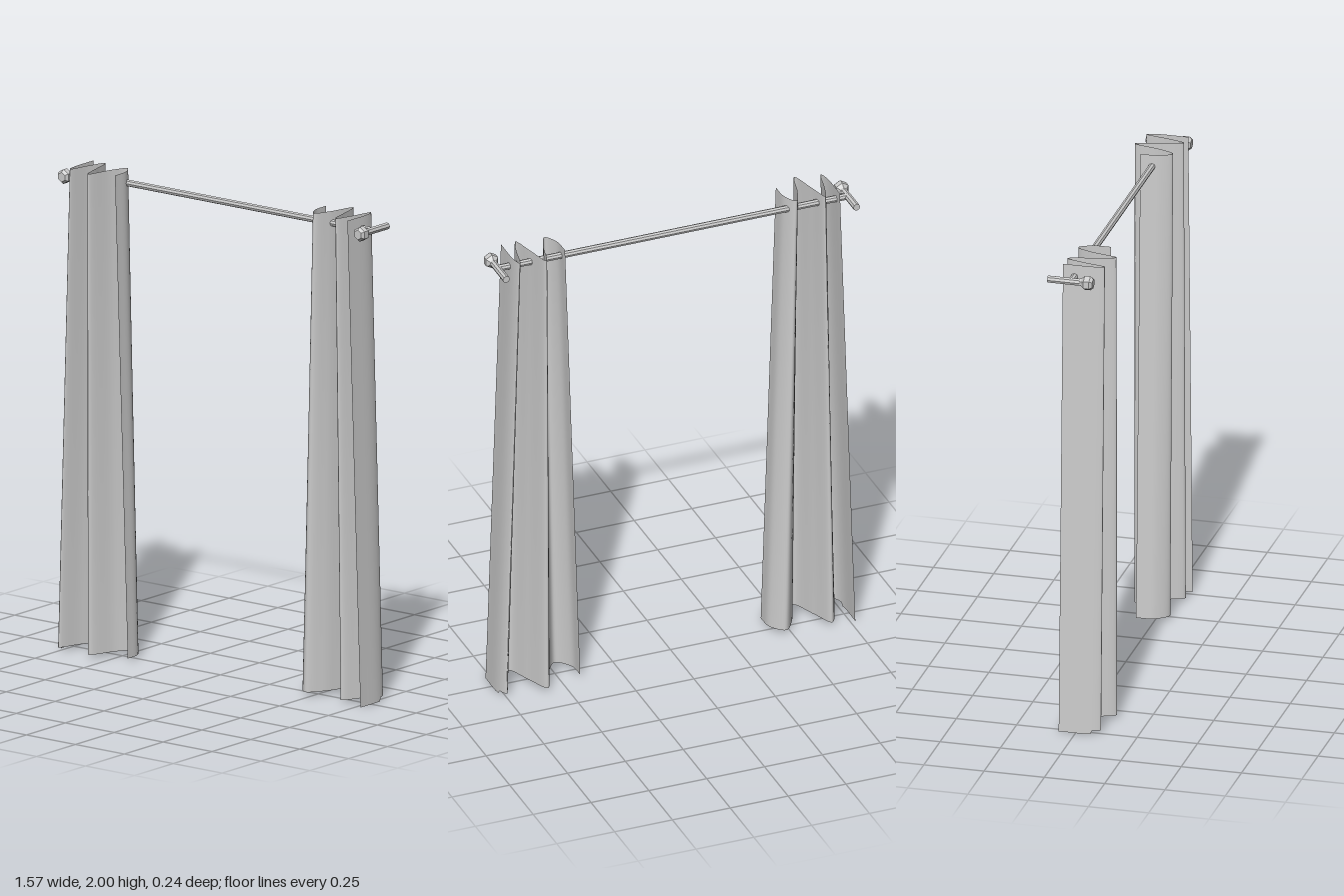
import * as THREE from 'three';

const ROD_Y = 1.95, ROD_Z = -0.022;

export function createModel() {
  const model = new THREE.Group();
  model.name = 'curtainSet';
  const metal = new THREE.MeshStandardMaterial({ color: 0xcccccc, flatShading: true });
  const cloth = new THREE.MeshStandardMaterial({ color: 0xcccccc, side: THREE.DoubleSide });

  const add = (name, geometry, material, parent = model) => {
    const mesh = new THREE.Mesh(geometry, material);
    mesh.name = name;
    parent.add(mesh);
    return mesh;
  };

  // Rod across the whole width
  const rod = add('rod', new THREE.CylinderGeometry(0.014, 0.014, 1.52, 8), metal);
  rod.rotation.z = Math.PI / 2;
  rod.position.set(0, ROD_Y, ROD_Z);

  // Wall brackets, each with a six-sided knob at the front
  const knobProfile = [[0, 0.01], [0.016, 0.015], [0.017, 0.022], [0.03, 0.035], [0.03, 0.058], [0.02, 0.07], [0, 0.07]]
    .map(([r, z]) => new THREE.Vector2(r, z));
  for (const side of [1, -1]) {
    const bracket = new THREE.Group();
    bracket.name = side > 0 ? 'leftBracket' : 'rightBracket';
    bracket.position.set(side * 0.757, ROD_Y, 0);
    bracket.rotation.x = Math.PI / 2;
    model.add(bracket);
    const arm = add('bracketArm', new THREE.CylinderGeometry(0.015, 0.015, 0.14, 8), metal, bracket);
    arm.position.y = -0.048;
    add('knob', new THREE.LatheGeometry(knobProfile, 6), metal, bracket);
  }

  // Pleated cloth: one wavy line, spreading sideways towards the hem
  const pleats = new THREE.CatmullRomCurve3([
    [-0.109, -0.07], [-0.104, 0.005], [-0.072, 0.056], [-0.041, -0.005], [-0.009, -0.12], [0.022, -0.02],
    [0.049, 0.068], [0.073, 0], [0.097, -0.1], [0.109, -0.06], [0.111, 0.07],
  ].map(([x, z]) => new THREE.Vector3(x, 0, z)), false, 'centripetal');
  const curtainGeometry = () => {
    const g = new THREE.PlaneGeometry(1, 1, 80, 12);
    const pos = g.attributes.position;
    for (let i = 0; i < pos.count; i++) {
      const t = pos.getX(i) + 0.5, h = pos.getY(i) + 0.5;
      const p = pleats.getPoint(t);
      // the outer hem hangs slightly lower
      const hem = t > 0.9 ? 0 : 0.015;
      pos.setXYZ(i, 0.593 + p.x * (1.6 - 0.6 * h), hem + (2 - hem) * h, p.z);
    }
    g.computeVertexNormals();
    return g;
  };
  const geometry = curtainGeometry();
  add('leftCurtain', geometry, cloth);
  add('rightCurtain', geometry, cloth).rotation.y = Math.PI;

  return model;
}
